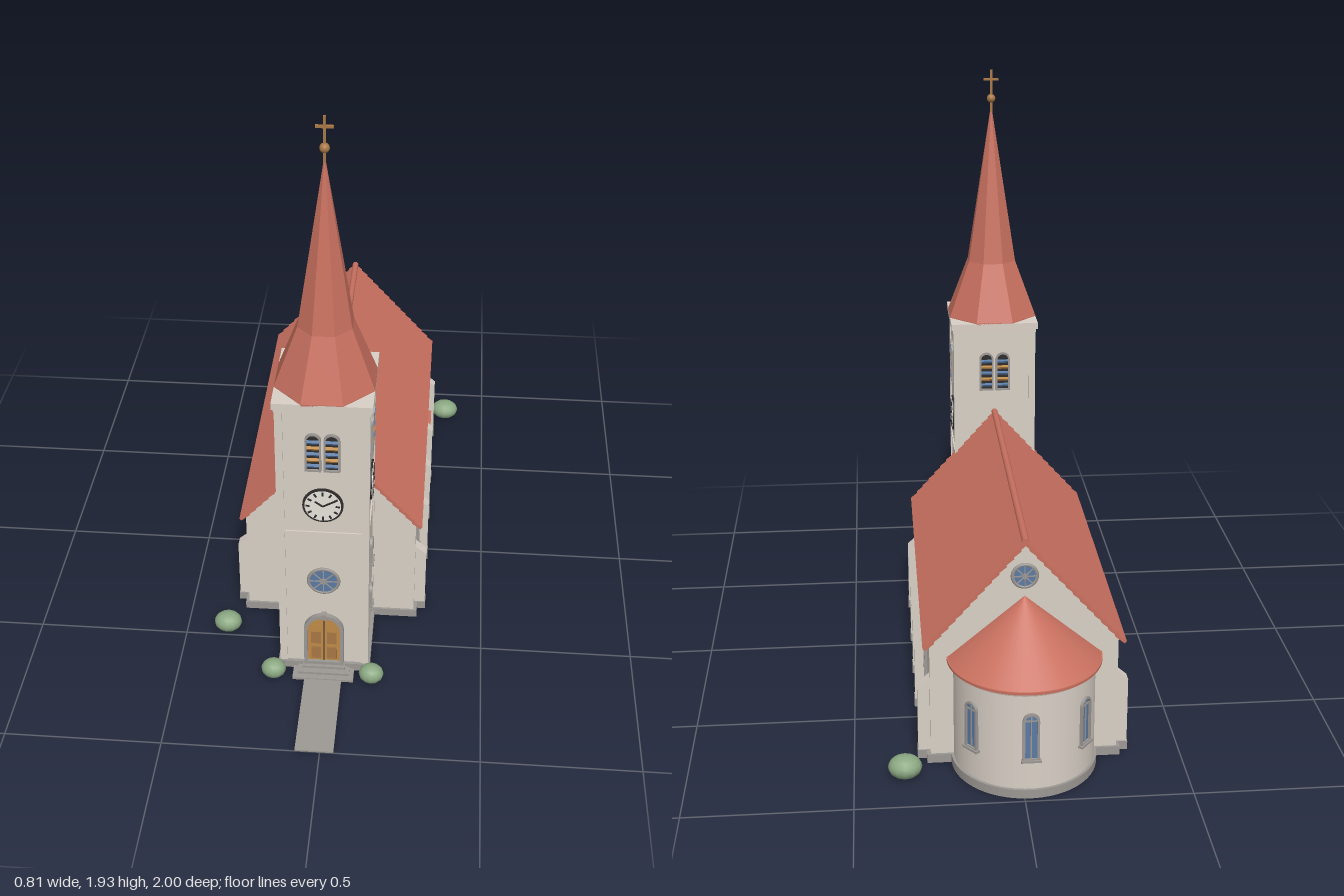
import * as THREE from 'three';

const mat = (name, color, extra = {}) => {
  const m = new THREE.MeshStandardMaterial({ color, ...extra });
  m.name = name;
  return m;
};

export function createModel() {
  const wall = mat('plaster', 0xd9d0c6), stone = mat('stone', 0x9c9894), roof = mat('roof tile', 0xc8705f),
    roofDark = mat('tile shadow edge', 0x7c4034), glass = mat('window glass', 0x5a7aa4), wood = mat('door wood', 0xc08a48),
    dark = mat('dark iron', 0x2f2d2c), dial = mat('clock dial', 0xeeeae2), gold = mat('old gold', 0xa87845),
    leaf = mat('bush green', 0x8ba882);
  const spireRoof = roof.clone();
  spireRoof.flatShading = true;

  const root = new THREE.Group();
  root.name = 'church';
  const church = new THREE.Group();
  church.name = 'building';
  church.position.x = -0.018;
  root.add(church);

  const add = (parent, name, geo, material, x = 0, y = 0, z = 0, ry = 0) => {
    const m = new THREE.Mesh(geo, material);
    m.name = name;
    m.position.set(x, y, z);
    m.rotation.y = ry;
    parent.add(m);
    return m;
  };
  const box = (parent, name, material, w, h, d, x, y, z) =>
    add(parent, name, new THREE.BoxGeometry(w, h, d), material, x, y, z);
  const group = (name, x, y, z, ry = 0, parent = church) => {
    const g = new THREE.Group();
    g.name = name;
    g.position.set(x, y, z);
    g.rotation.y = ry;
    parent.add(g);
    return g;
  };
  const extrude = (shape, depth) =>
    new THREE.ExtrudeGeometry(shape, { depth, bevelEnabled: false, curveSegments: 10 });
  const disc = (r, d, n = 32) => new THREE.CylinderGeometry(r, r, d, n).rotateX(Math.PI / 2);

  // Round-headed outline standing on y = 0
  const arch = (w, h, base = 0, Kind = THREE.Shape) => {
    const s = new Kind();
    s.moveTo(-w / 2, base);
    s.lineTo(w / 2, base);
    s.lineTo(w / 2, h - w / 2);
    s.absarc(0, h - w / 2, w / 2, 0, Math.PI, false);
    s.closePath();
    return s;
  };
  const archFrame = (g, w, h, t, depth, material) => {
    const s = arch(w, h);
    s.holes.push(arch(w - 2 * t, h - t, t, THREE.Path));
    add(g, 'archFrame', extrude(s, depth), material);
  };

  // Arched window with frame, sill, mullion and glazing bars
  const archedWindow = (g, w, h) => {
    archFrame(g, w, h, 0.007, 0.009, stone);
    add(g, 'glass', extrude(arch(w - 0.01, h - 0.005, 0.004), 0.003), glass);
    box(g, 'mullion', stone, 0.004, h - 0.01, 0.006, 0, h / 2, 0.003);
    box(g, 'glazingBar', stone, w - 0.01, 0.004, 0.006, 0, h - w / 2, 0.003);
    box(g, 'sill', stone, w + 0.01, 0.007, 0.016, 0, 0, 0.006);
  };

  // Round window with spokes
  const roundWindow = (g, r) => {
    add(g, 'roundGlass', disc(r, 0.006), glass);
    add(g, 'roundFrame', new THREE.TorusGeometry(r, 0.006, 6, 32), stone);
    add(g, 'hub', disc(r * 0.24, 0.014, 16), stone);
    for (let i = 0; i < 4; i++)
      box(g, 'spoke', stone, 2 * r, 0.004, 0.01, 0, 0, 0).rotation.z = (i * Math.PI) / 4;
  };

  // Nave with gabled ends
  const gable = new THREE.Shape([[-0.285, 0], [0.285, 0], [0.285, 0.395], [0, 0.712], [-0.285, 0.395]]
    .map(([x, y]) => new THREE.Vector2(x, y)));
  add(church, 'naveWalls', extrude(gable, 1.12), wall, 0, 0, -0.765);
  box(church, 'navePlinth', stone, 0.592, 0.028, 1.135, 0, 0.014, -0.205);

  // Roof in overlapping tile courses
  const courses = 14, run = 0.302, rise = 0.338, slope = Math.hypot(run, rise), pitch = Math.atan2(rise, run);
  for (const s of [1, -1]) {
    const side = group('roofSlope', 0, 0.735, -0.212, s > 0 ? 0 : Math.PI);
    const plane = group('tileCourses', 0, 0, 0, 0, side);
    plane.rotation.z = -pitch;
    for (let i = 0; i < courses; i++) {
      const step = slope / courses;
      const c = box(plane, 'tileCourse', [roofDark, roof, roof, roof, roof, roof],
        step * 1.15, 0.01, 1.155, (i + 0.5) * step, -0.004, 0);
      c.rotation.z = 0.16;
    }
  }
  add(church, 'ridgeTile', new THREE.CylinderGeometry(0.011, 0.011, 1.155, 10).rotateX(Math.PI / 2),
    roof, 0, 0.733, -0.212);

  // Buttresses and windows along both sides
  const buttress = new THREE.Shape([[0, 0], [0.04, 0], [0.04, 0.24], [0, 0.275]]
    .map(([x, y]) => new THREE.Vector2(x, y)));
  const buttressGeo = extrude(buttress, 0.036).translate(0, 0, -0.018);
  for (const s of [1, -1]) {
    for (const z of [0.295, 0.035, -0.193, -0.415, -0.722]) {
      add(church, 'buttress', buttressGeo, wall, s * 0.282, 0, z, s > 0 ? 0 : Math.PI);
      box(church, 'buttressFoot', stone, 0.046, 0.028, 0.044, s * 0.301, 0.014, z);
    }
    for (const z of [0.155, -0.075, -0.3, -0.525])
      archedWindow(group('naveWindow', s * 0.285, 0.125, z, (s * Math.PI) / 2), 0.078, 0.215);
  }

  // Side door with small canopy
  const sideDoor = group('sideDoor', 0.285, 0, -0.625, Math.PI / 2);
  box(sideDoor, 'sideDoorFrame', stone, 0.078, 0.138, 0.014, 0, 0.069, 0.004);
  box(sideDoor, 'sideDoorLeaf', wood, 0.06, 0.12, 0.006, 0, 0.068, 0.012);
  box(sideDoor, 'sideDoorStep', stone, 0.08, 0.014, 0.03, 0, 0.007, 0.012);
  box(sideDoor, 'sideDoorCanopy', roof, 0.092, 0.01, 0.03, 0, 0.143, 0.012).rotation.x = 0.25;

  // Rounded apse at the back
  const half = (r0, r1, h) => new THREE.CylinderGeometry(r0, r1, h, 40, 1, false, Math.PI / 2, Math.PI);
  add(church, 'apseWall', half(0.214, 0.214, 0.36), wall, 0, 0.18, -0.764);
  add(church, 'apsePlinth', half(0.222, 0.222, 0.028), stone, 0, 0.014, -0.764);
  add(church, 'apseCornice', half(0.224, 0.218, 0.018), wall, 0, 0.345, -0.764);
  add(church, 'apseRoof', half(0, 0.234, 0.195), roof, 0, 0.452, -0.766);
  add(church, 'apseRoofEdge', half(0.234, 0.234, 0.008), roof, 0, 0.354, -0.766);
  for (const a of [-0.89, 0, 0.89])
    archedWindow(group('apseWindow', -Math.sin(a) * 0.213, 0.125, -0.764 - Math.cos(a) * 0.213, Math.PI + a), 0.05, 0.155);
  roundWindow(group('gableWindow', 0, 0.615, -0.767, Math.PI), 0.036);

  // Tower
  const tower = group('tower', 0, 0, 0.485);
  const H = 0.14;
  box(tower, 'towerShaft', wall, 2 * H, 1.04, 2 * H, 0, 0.52, 0);
  box(tower, 'towerPlinth', stone, 0.302, 0.028, 0.302, 0, 0.014, 0);
  box(tower, 'stringCourse', wall, 0.29, 0.012, 0.29, 0, 0.57, 0);
  box(tower, 'cornice', wall, 0.306, 0.022, 0.306, 0, 1.053, 0);
  box(tower, 'corniceMoulding', wall, 0.294, 0.014, 0.294, 0, 1.036, 0);
  for (const x of [-1, 1]) for (const z of [-1, 1])
    box(tower, 'cornerPilaster', wall, 0.024, 1.03, 0.024, x * 0.133, 0.515, z * 0.133);

  const clock = (g) => {
    add(g, 'clockRim', disc(0.064, 0.012), dark);
    add(g, 'clockDial', disc(0.057, 0.016), dial);
    for (let i = 0; i < 12; i++) {
      const a = (i * Math.PI) / 6;
      box(g, 'hourMark', dark, 0.006, 0.013, 0.004, Math.sin(a) * 0.047, Math.cos(a) * 0.047, 0.008).rotation.z = -a;
    }
    for (const [a, l] of [[-0.95, 0.03], [1.05, 0.042]])
      box(g, 'clockHand', dark, 0.005, l, 0.004, Math.sin(a) * l / 2, Math.cos(a) * l / 2, 0.009).rotation.z = -a;
  };

  for (let i = 0; i < 4; i++) {
    const face = group('towerFace', 0, 0, 0, (i * Math.PI) / 2, tower);
    // Paired belfry openings with louvres
    for (const x of [-0.029, 0.029]) {
      const g = group('belfryOpening', x, 0.815, H, 0, face);
      archFrame(g, 0.05, 0.14, 0.006, 0.009, stone);
      add(g, 'belfryShade', extrude(arch(0.042, 0.135, 0.004), 0.002), dark);
      for (let k = 0; k < 5; k++)
        box(g, 'louvre', k % 2 ? wood : glass, 0.038, 0.008, 0.01, 0, 0.02 + k * 0.022, 0.004).rotation.x = 0.5;
    }
    if (i !== 2) clock(group('clock', 0, 0.683, H, 0, face));
    if (i % 2) for (const y of [0.155, 0.35])
      archedWindow(group('towerWindow', 0, y, H, 0, face), 0.045, 0.095);
  }
  roundWindow(group('roseWindow', 0, 0.375, H + 0.001, 0, tower), 0.048);

  // Main door, steps and path
  const door = group('mainDoor', 0, 0.024, H, 0, tower);
  archFrame(door, 0.13, 0.212, 0.012, 0.016, stone);
  add(door, 'doorLeaves', extrude(arch(0.108, 0.201), 0.006), wood);
  box(door, 'doorSeam', dark, 0.003, 0.195, 0.004, 0, 0.0985, 0.006);
  for (const x of [-0.026, 0.026]) for (const y of [0.045, 0.11])
    box(door, 'doorPanel', gold, 0.032, 0.05, 0.004, x, y, 0.006);
  box(door, 'keystone', stone, 0.016, 0.022, 0.02, 0, 0.208, 0.01);
  for (let i = 0; i < 3; i++)
    box(tower, 'step', stone, 0.2 - i * 0.03, 0.008 * (i + 1), 0.075 - i * 0.02, 0,
      0.004 * (i + 1), H + (0.075 - i * 0.02) / 2 - 0.008);
  box(church, 'path', stone, 0.122, 0.005, 0.33, 0, 0.0025, 0.835);

  // Eight-sided flared spire with orb and cross
  const k = 1 / Math.cos(Math.PI / 8);
  const profile = [[0.002, 1.06], [0.153, 1.06], [0.153, 1.066], [0.082, 1.262], [0.002, 1.8]]
    .map(([r, y]) => new THREE.Vector2(r * k, y));
  add(tower, 'spire', new THREE.LatheGeometry(profile, 8), spireRoof, 0, 0, 0, Math.PI / 8);
  add(tower, 'orb', new THREE.SphereGeometry(0.015, 16, 10), gold, 0, 1.832, 0);
  box(tower, 'crossPost', gold, 0.008, 0.15, 0.008, 0, 1.855, 0);
  box(tower, 'crossArm', gold, 0.052, 0.008, 0.008, 0, 1.897, 0);

  // Bushes
  const bushGeo = new THREE.SphereGeometry(1, 12, 8);
  for (const [x, z, r] of [[0.347, -0.843, 0.052], [-0.347, -0.358, 0.034], [-0.36, 0.472, 0.047],
    [-0.18, 0.682, 0.041], [0.141, 0.682, 0.041]])
    add(root, 'bush', bushGeo, leaf, x, 0.037, z).scale.set(r, 0.02 + r * 0.3, r * 0.87);

  return root;
}
